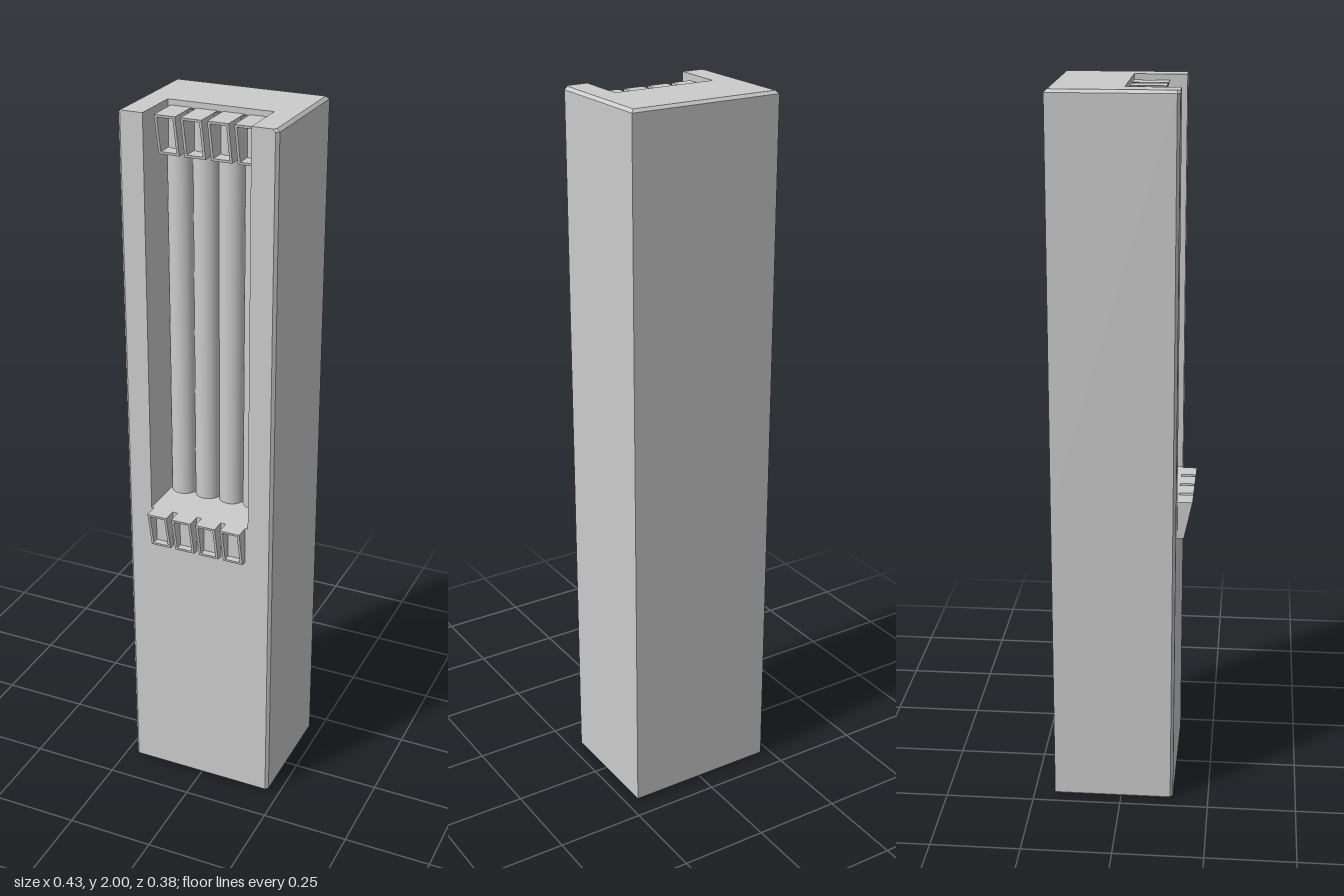
import * as THREE from 'three';

const W = 0.217, BACK = -0.19, FRONT = 0.15, BEVEL = 0.008;
const SHELF = 0.885, RECESS = 0.146, RECESS_Z = 0.007;

const material = new THREE.MeshStandardMaterial({ color: 0xcccccc, side: THREE.DoubleSide });

// Horizontal outline of the body, optionally notched by the front recess
function outline(y, inset, frontInset, notched) {
  const w = W - inset, b = BACK + inset, f = FRONT - frontInset, c = BEVEL;
  const notch = notched
    ? [[-RECESS, f], [-RECESS, RECESS_Z], [RECESS, RECESS_Z], [RECESS, f]]
    : [];
  const points = [[-w, b], [-w, f - c], [-w + c, f], ...notch, [w - c, f], [w, f - c], [w, b]];
  return points.map(([x, z]) => new THREE.Vector3(x, y, z));
}

// Flat-sided loft through matching outlines with flat end caps
function loft(rings, capBottom, capTop) {
  const corners = [];
  const n = rings[0].length;
  for (let k = 0; k < rings.length - 1; k++) {
    const lo = rings[k], hi = rings[k + 1];
    for (let i = 0; i < n; i++) {
      const j = (i + 1) % n;
      corners.push(lo[i], lo[j], hi[j], lo[i], hi[j], hi[i]);
    }
  }
  const cap = (ring, up) => {
    const flat = ring.map(p => new THREE.Vector2(p.x, -p.z));
    for (const [a, b, c] of THREE.ShapeUtils.triangulateShape(flat, [])) {
      corners.push(ring[a], ring[up ? b : c], ring[up ? c : b]);
    }
  };
  if (capBottom) cap(rings[0], false);
  if (capTop) cap(rings[rings.length - 1], true);
  const geometry = new THREE.BufferGeometry().setFromPoints(corners);
  geometry.computeVertexNormals();
  return geometry;
}

// Hollow rectangular clip whose front leans back towards its lower edge
function clipGeometry(depth) {
  const w = 0.029, h = 0.107, t = 0.007, lean = 0.023;
  const rect = (path, x, y0, y1) =>
    path.moveTo(-x, y0).lineTo(x, y0).lineTo(x, y1).lineTo(-x, y1).closePath();
  const shape = new THREE.Shape();
  rect(shape, w, 0, h);
  const hole = new THREE.Path();
  rect(hole, w - t, t, h - t);
  shape.holes.push(hole);
  const geometry = new THREE.ExtrudeGeometry(shape, { depth, bevelEnabled: false });
  const p = geometry.attributes.position;
  for (let i = 0; i < p.count; i++) {
    if (p.getZ(i) > depth / 2) p.setZ(i, depth - lean * (1 - p.getY(i) / h));
  }
  geometry.computeVertexNormals();
  return geometry;
}

export function createModel() {
  const group = new THREE.Group();
  const add = (name, geometry, x = 0, y = 0, z = 0) => {
    const mesh = new THREE.Mesh(geometry, material);
    mesh.name = name;
    mesh.position.set(x, y, z);
    group.add(mesh);
  };

  // Solid lower block and notched upper block
  add('lowerBody', loft([
    outline(0, BEVEL, BEVEL, false),
    outline(BEVEL, 0, 0, false),
    outline(SHELF, 0, 0, false),
  ], true, true));
  add('upperBody', loft([
    outline(SHELF, 0, 0, true),
    outline(2 - BEVEL, 0, 0, true),
    outline(2, BEVEL, 0, true),
  ], false, true));

  // Four rounded columns in the recess, each with a clip above and below
  const radius = RECESS / 4, top = 1.985;
  const column = new THREE.CylinderGeometry(
    radius, radius, top - SHELF, 20, 1, true, -Math.PI / 2, Math.PI);
  const upperClip = clipGeometry(0.096);
  const lowerClip = clipGeometry(0.042);
  for (let i = 0; i < 4; i++) {
    const x = (i - 1.5) * radius * 2;
    add('column', column, x, (top + SHELF) / 2, RECESS_Z);
    add('upperClip', upperClip, x, 1.878, RECESS_Z);
    add('lowerClip', lowerClip, x, SHELF - 0.107, FRONT - 0.001);
  }
  return group;
}
